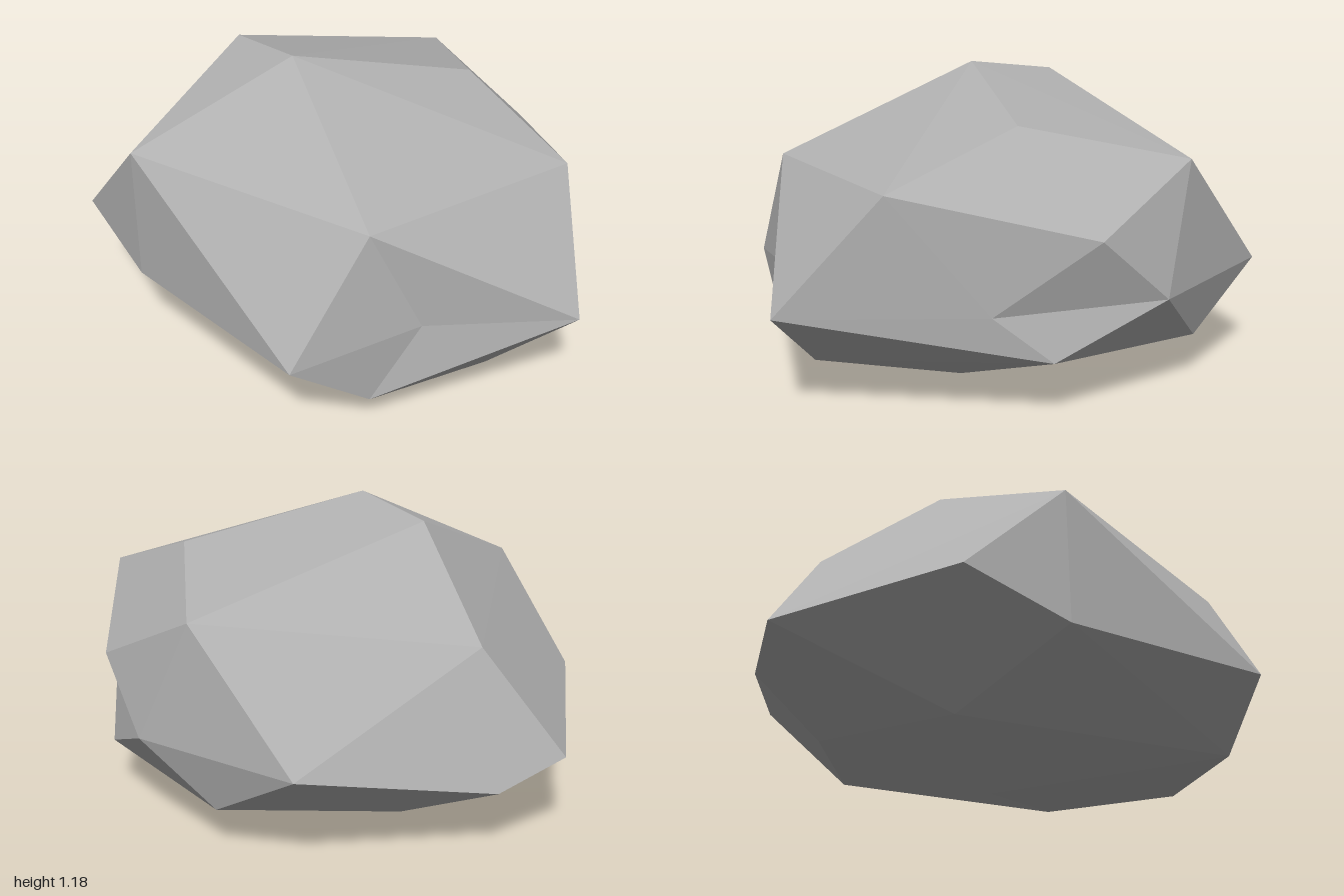
import * as THREE from 'three';
import { ConvexGeometry } from 'three/addons/geometries/ConvexGeometry.js';

// Corners of the boulder, ring by ring from the crown to the underside
const crown = [
  [-0.16, 1.18, 0.06], [-0.28, 1.13, -0.32], [0.59, 1.02, 0.07],
];
const shoulder = [
  [-0.82, 0.875, 0.09], [-0.12, 0.83, 0.86], [0.78, 0.83, 0.6],
  [0.95, 0.66, -0.14], [0.71, 0.89, -0.565], [-0.33, 0.765, -0.79],
];
const waist = [
  [-0.95, 0.465, -0.3], [-0.82, 0.33, 0.1], [-0.44, 0.355, 0.935], [0.675, 0.385, 0.99],
  [0.92, 0.22, 0.025], [0.44, 0.415, -0.97], [-0.32, 0.275, -1], [-0.61, 0.36, -0.955],
];
const underside = [
  [-0.12, 0.13, 0.895], [0.39, 0.12, 0.81], [0.51, 0.058, 0.27], [0.64, 0.18, -0.63],
  [-0.04, 0.125, -0.75], [-0.52, 0.08, -0.27], [0.12, 0, -0.05],
];

// Hollow corners: the hull is wrapped around the raised point, which is then pressed in
const dents = [
  { at: [0.08, 0.42, 0.89], raise: [0, 0, 0.16] },
  { at: [0.87, 0.39, 0.24], raise: [0.08, 0, 0] },
  { at: [0.88, 0.41, -0.42], raise: [0.1, 0, 0] },
].map(({ at, raise }) => {
  const inner = new THREE.Vector3(...at);
  return { inner, outer: inner.clone().add(new THREE.Vector3(...raise)) };
});

function boulderGeometry() {
  const points = [...crown, ...shoulder, ...waist, ...underside].map((p) => new THREE.Vector3(...p));
  const geometry = new ConvexGeometry([...points, ...dents.map((d) => d.outer)]);

  // Press the dented corners back in
  const position = geometry.attributes.position;
  const v = new THREE.Vector3();
  for (let i = 0; i < position.count; i++) {
    v.fromBufferAttribute(position, i);
    const dent = dents.find((d) => d.outer.distanceTo(v) < 1e-4);
    if (dent) position.setXYZ(i, dent.inner.x, dent.inner.y, dent.inner.z);
  }
  geometry.computeVertexNormals(); // unshared corners give flat facets
  return geometry;
}

export function createModel() {
  const stone = new THREE.MeshStandardMaterial({ color: 0xb0b0b0 });
  stone.name = 'stone grey';

  const boulder = new THREE.Mesh(boulderGeometry(), stone);
  boulder.name = 'boulder';

  const group = new THREE.Group();
  group.name = 'rock';
  group.add(boulder);
  return group;
}
